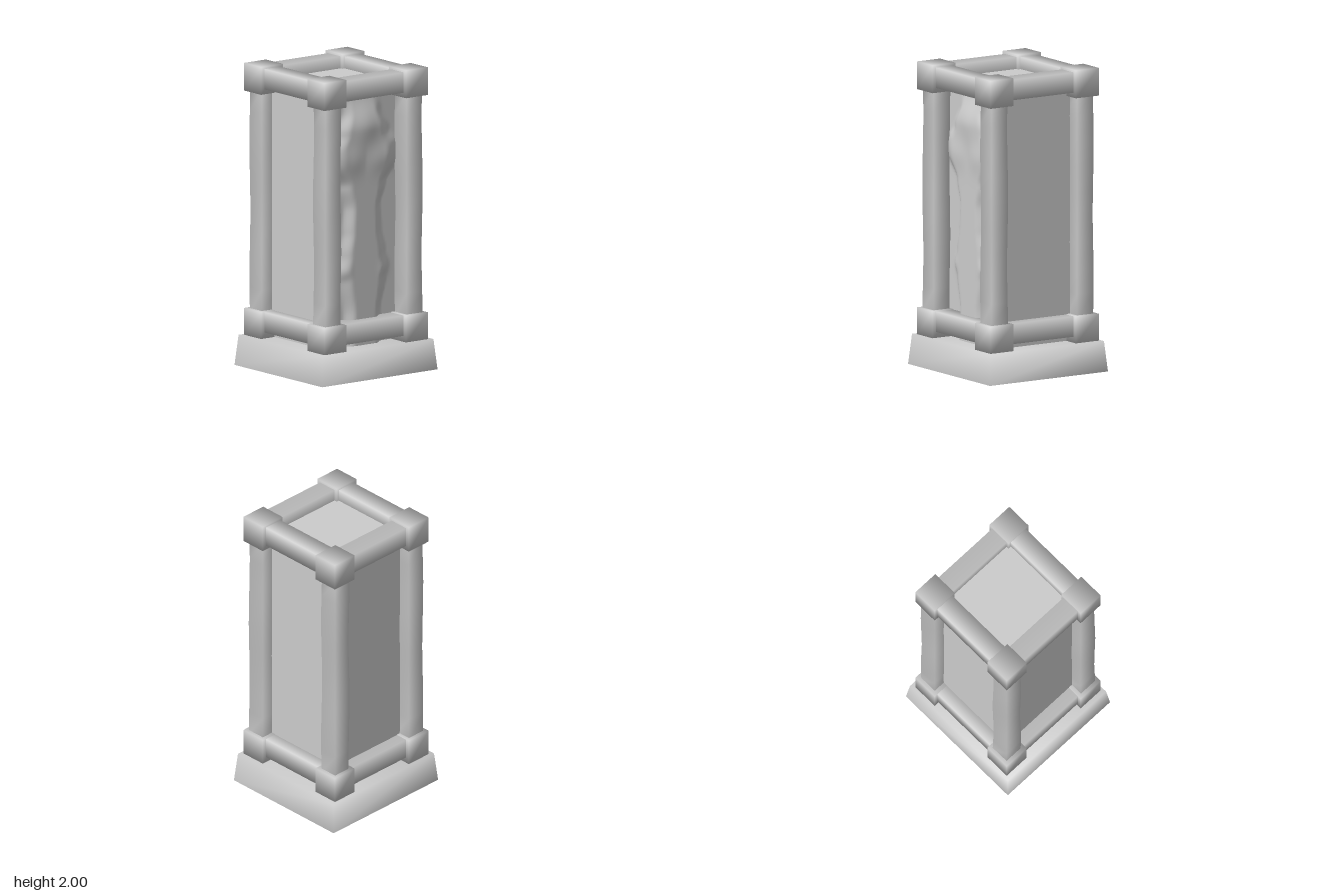
import * as THREE from 'three';
import { mergeVertices } from 'three/addons/utils/BufferGeometryUtils.js';

const grey = new THREE.MeshStandardMaterial({ color: 0xcccccc });
const greyOpen = new THREE.MeshStandardMaterial({ color: 0xcccccc, side: THREE.DoubleSide });
const C = 0.335; // distance of posts and rails from the centre line
const W = 0.315; // distance of the inner panels from the centre line
const FLOOR = 0.195, CEILING = 1.905; // height range of the inner panels

// Share corner vertices so shading runs softly across the edges
function soften(geometry) {
  geometry.deleteAttribute('normal');
  geometry.deleteAttribute('uv');
  const merged = mergeVertices(geometry, 1e-4);
  merged.computeVertexNormals();
  return merged;
}

function add(parent, name, geometry, x = 0, y = 0, z = 0, material = grey) {
  const mesh = new THREE.Mesh(geometry, material);
  mesh.name = name;
  mesh.position.set(x, y, z);
  parent.add(mesh);
  return mesh;
}

// Open-ended square bar along y, softly shaded round its four edges
function barGeometry(half, length, segments) {
  return new THREE.CylinderGeometry(
    half * Math.SQRT2, half * Math.SQRT2, length, 4, segments, true, Math.PI / 4);
}

// Corner block whose normals all point away from its middle
function blockGeometry() {
  const block = new THREE.BoxGeometry(0.18, 0.183, 0.18);
  block.setAttribute('normal', block.attributes.position.clone());
  block.normalizeNormals();
  return block;
}

// Open-bottomed plinth, slightly narrower at the top
function plinthGeometry() {
  const box = new THREE.BoxGeometry(0.95, 0.2, 0.924);
  const p = box.attributes.position;
  for (let i = 0; i < p.count; i++) {
    if (p.getY(i) > 0) p.setXYZ(i, p.getX(i) * 0.96, p.getY(i), p.getZ(i) * 0.96);
  }
  const index = Array.from(box.index.array);
  index.splice(18, 6); // leave out the underside
  box.setIndex(index);
  return soften(box);
}

// Upright square post with a gently uneven, hand-hewn outline
function postGeometry(seed) {
  const post = barGeometry(0.063, 1.5, 9);
  const p = post.attributes.position;
  for (let i = 0; i < p.count; i++) {
    const y = p.getY(i);
    const a = Math.atan2(p.getZ(i), p.getX(i));
    const s = 1 + 0.04 * Math.sin(y * 7 + seed * 2 + Math.cos(a) * 1.5);
    p.setX(i, p.getX(i) * s);
    p.setZ(i, p.getZ(i) * s);
  }
  return soften(post);
}

// Half-width of the body at each height: [y, half-width]
const outline = [
  [0.2, 0.14], [0.4, 0.13], [0.62, 0.17], [0.7, 0.19], [0.8, 0.17], [0.95, 0.14],
  [1.1, 0.13], [1.25, 0.17], [1.4, 0.26], [1.5, 0.26], [1.6, 0.2], [1.75, 0.14],
  [1.92, 0.1],
];
function bodyWidth(y) {
  let i = 0;
  while (i < outline.length - 2 && y > outline[i + 1][0]) i++;
  const [y0, w0] = outline[i], [y1, w1] = outline[i + 1];
  return THREE.MathUtils.lerp(w0, w1, THREE.MathUtils.smoothstep(y, y0, y1));
}
const bump = (x, y, cx, cy, rx, ry) =>
  Math.exp(-(((x - cx) / rx) ** 2) - ((y - cy) / ry) ** 2);

// Front sheet with a soft, veiled torso in relief
function reliefGeometry() {
  const sheet = new THREE.PlaneGeometry(2 * W, CEILING - FLOOR, 44, 90);
  sheet.translate(0, (CEILING + FLOOR) / 2, 0);
  const p = sheet.attributes.position;
  for (let i = 0; i < p.count; i++) {
    const x = p.getX(i), y = p.getY(i), ax = Math.abs(x);
    const w = bodyWidth(y);
    let z = 0.05 * (1 - THREE.MathUtils.smoothstep(ax, w * 0.6, w * 1.2));
    z *= 1 - THREE.MathUtils.smoothstep(y, 1.62, 1.88);
    z += 0.01 * bump(ax, y, 0.11, 1.42, 0.09, 0.09); // chest
    z += 0.012 * bump(ax, y, 0.23, 1.45, 0.07, 0.08); // shoulders
    z += 0.016 * bump(ax, y, 0, 1.66, 0.1, 0.13); // head
    z += 0.01 * bump(ax, y, 0.17, 0.69, 0.04, 0.06); // hands
    z *= 1 - THREE.MathUtils.smoothstep(ax, 0.27, W);
    p.setZ(i, z);
  }
  sheet.computeVertexNormals();
  return sheet;
}

export function createModel() {
  const model = new THREE.Group();
  model.name = 'framedReliefPillar';

  add(model, 'plinth', plinthGeometry(), 0, 0.1, 0, greyOpen);

  // Corner blocks and posts
  const block = blockGeometry();
  let seed = 0;
  for (const x of [-1, 1]) {
    for (const z of [-1, 1]) {
      add(model, 'lowerCornerBlock', block, x * 0.336, 0.286, z * 0.334);
      add(model, 'upperCornerBlock', block, x * 0.336, 1.9085, z * 0.334);
      add(model, 'post', postGeometry(seed++), x * C, 1.1, z * C);
    }
  }

  // Rails between the blocks, top and bottom
  const rail = barGeometry(0.067, 0.54, 1);
  for (const [level, y] of [['lower', 0.307], ['upper', 1.917]]) {
    for (const s of [-1, 1]) {
      add(model, level + 'CrossRail', rail, 0, y, s * 0.332).rotation.z = Math.PI / 2;
      add(model, level + 'SideRail', rail, s * 0.332, y, 0).rotation.x = Math.PI / 2;
    }
  }

  // Flat panels closing the sides, back and top
  const wall = new THREE.PlaneGeometry(2 * W, CEILING - FLOOR);
  const middle = (CEILING + FLOOR) / 2;
  for (const s of [-1, 1]) {
    add(model, 'sidePanel', wall, s * W, middle, 0, greyOpen).rotation.y = s * Math.PI / 2;
  }
  add(model, 'backPanel', wall, 0, middle, -W, greyOpen).rotation.y = Math.PI;
  add(model, 'topPanel', new THREE.PlaneGeometry(2 * W, 2 * W), 0, CEILING, 0, greyOpen)
    .rotation.x = -Math.PI / 2;

  add(model, 'frontRelief', reliefGeometry(), 0, 0, 0.265, greyOpen);
  return model;
}
